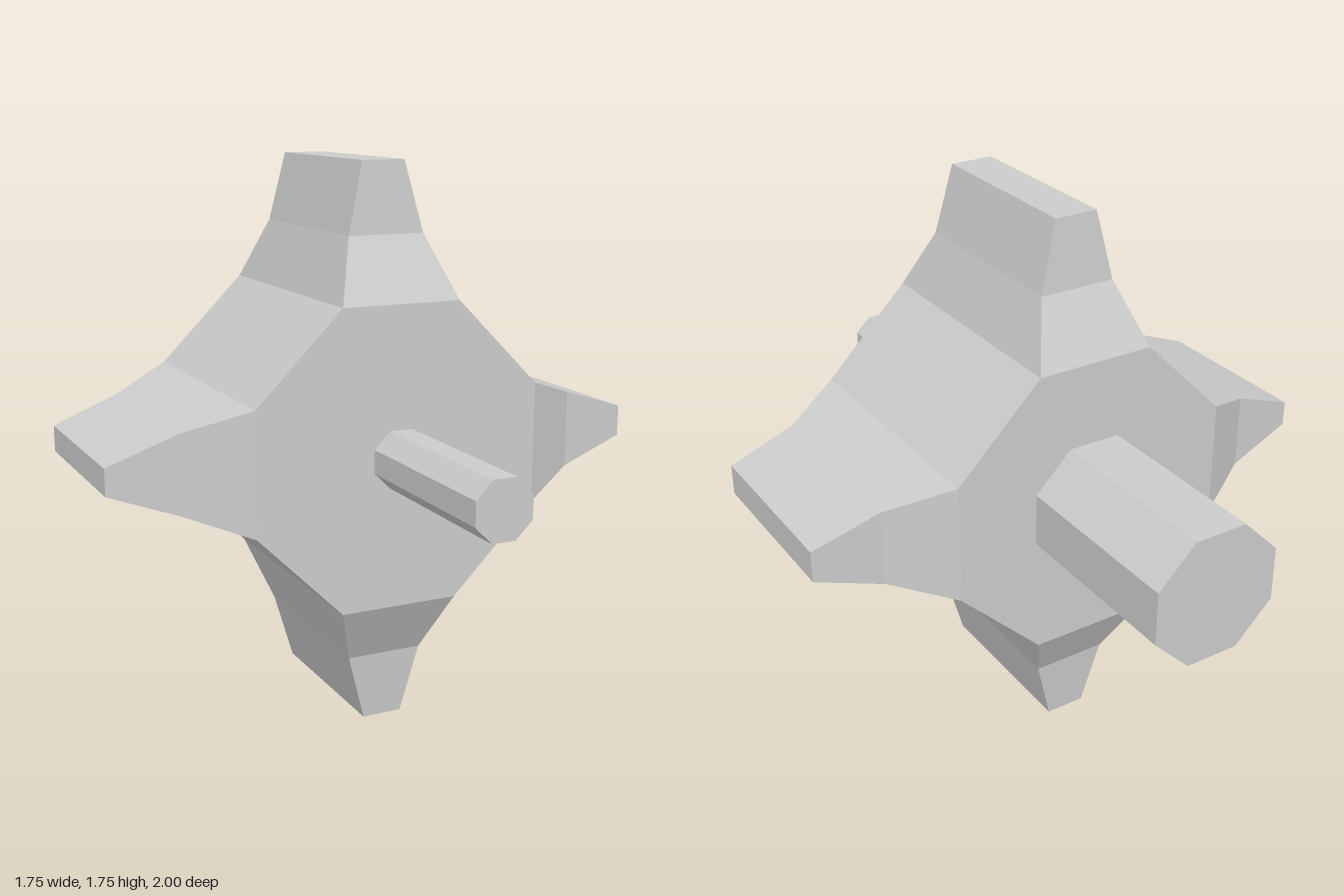
import * as THREE from 'three';

const CENTER_Y = 0.878;
const material = new THREE.MeshStandardMaterial({ color: 0xcccccc, flatShading: true });

// Tapered arm lofted along +y through rectangular sections [y, xMin, xMax, zHalf]
function armGeometry(sections) {
  const rings = sections.map(([y, x0, x1, z]) => [
    [x0, y, z], [x1, y, z], [x1, y, -z], [x0, y, -z],
  ]);
  const positions = [];
  const quad = (a, b, c, d) => positions.push(...a, ...b, ...c, ...a, ...c, ...d);
  for (let i = 0; i < rings.length - 1; i++) {
    for (let k = 0; k < 4; k++) {
      const n = (k + 1) % 4;
      quad(rings[i][k], rings[i][n], rings[i + 1][n], rings[i + 1][k]);
    }
  }
  quad(...rings[rings.length - 1]); // tip
  const geometry = new THREE.BufferGeometry();
  geometry.setAttribute('position', new THREE.Float32BufferAttribute(positions, 3));
  geometry.computeVertexNormals();
  return geometry;
}

// Octagonal shaft along z with its flats facing the axes
function shaft(name, apothem, z0, z1) {
  const r = apothem / Math.cos(Math.PI / 8);
  const geometry = new THREE.CylinderGeometry(r, r, z1 - z0, 8, 1, false, Math.PI / 8);
  geometry.rotateX(Math.PI / 2);
  const mesh = new THREE.Mesh(geometry, material);
  mesh.name = name;
  mesh.position.z = (z0 + z1) / 2;
  return mesh;
}

export function createModel() {
  const model = new THREE.Group();
  model.name = 'fourArmedRotor';
  const body = new THREE.Group();
  body.name = 'body';
  body.position.y = CENTER_Y;
  model.add(body);

  // Octagonal hub
  const long = 0.467, short = 0.192, depth = 0.41;
  const outline = new THREE.Shape([
    [short, -long], [long, -short], [long, short], [short, long],
    [-short, long], [-long, short], [-long, -short], [-short, -long],
  ].map(([x, y]) => new THREE.Vector2(x, y)));
  const hubGeometry = new THREE.ExtrudeGeometry(outline, { depth: depth * 2, bevelEnabled: false });
  hubGeometry.translate(0, 0, -depth);
  const hub = new THREE.Mesh(hubGeometry, material);
  hub.name = 'hub';
  body.add(hub);

  // Four arms, each with a slightly different tip
  const arms = [
    ['topArm', 0, -0.073, 0.066],
    ['rightArm', Math.PI / 2, -0.043, 0.04],
    ['bottomArm', Math.PI, -0.068, 0.062],
    ['leftArm', -Math.PI / 2, -0.055, 0.045],
  ];
  for (const [name, angle, tip0, tip1] of arms) {
    const arm = new THREE.Mesh(armGeometry([
      [long, -short, short, depth],
      [0.66, -0.124, 0.122, 0.305],
      [0.877, tip0, tip1, 0.288],
    ]), material);
    arm.name = name;
    arm.rotation.z = angle;
    body.add(arm);
  }

  // Thin shaft in front, thick shaft behind
  body.add(shaft('frontShaft', 0.088, depth, 1));
  body.add(shaft('rearShaft', 0.204, -1, -depth));

  return model;
}
